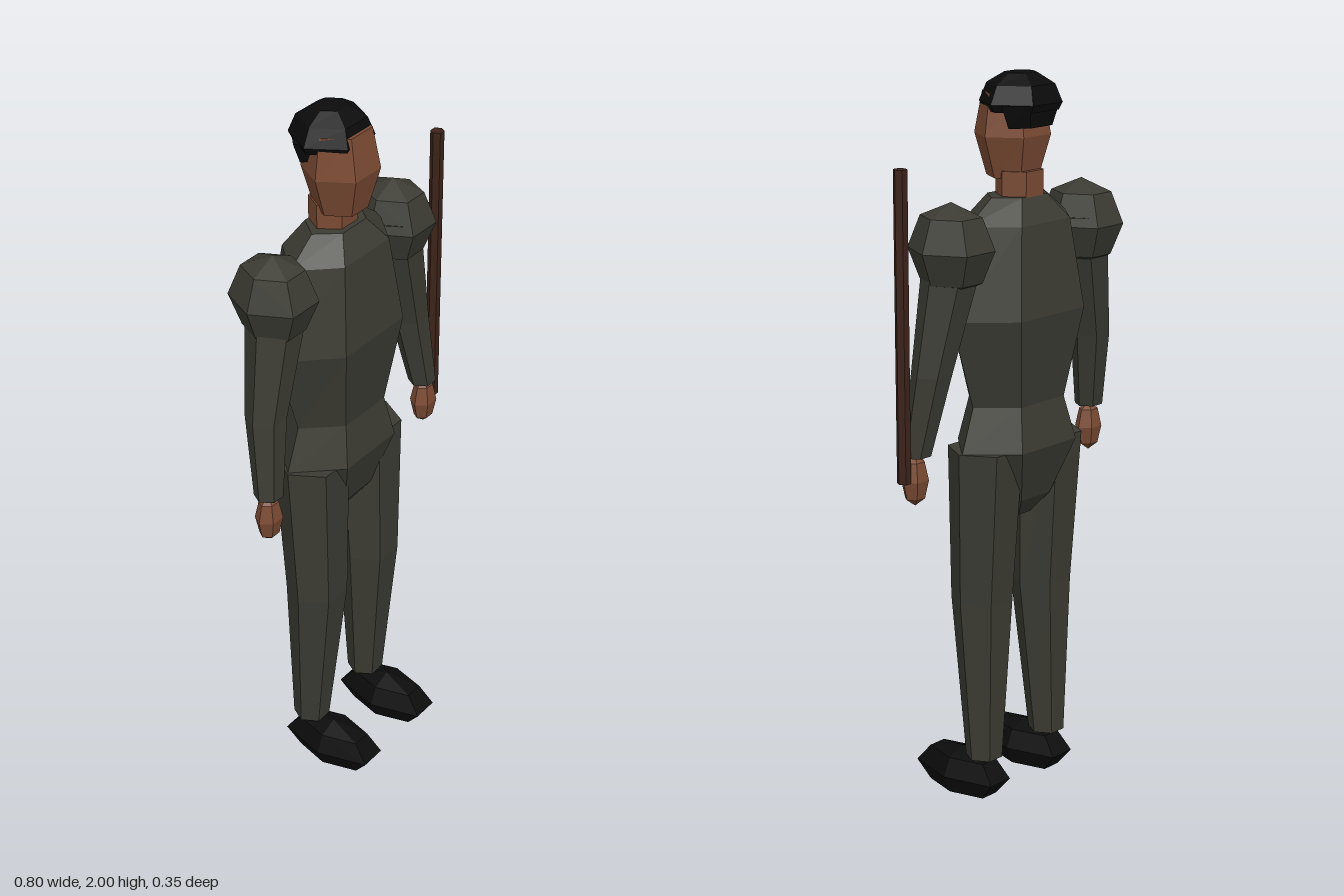
import * as THREE from 'three';

const cloth = new THREE.MeshStandardMaterial({ color: 0x3b3b33 });
cloth.name = 'dark olive cloth';
const skin = new THREE.MeshStandardMaterial({ color: 0x7a4a33 });
skin.name = 'brown skin';
const black = new THREE.MeshStandardMaterial({ color: 0x0b0b0b });
black.name = 'black';
const wood = new THREE.MeshStandardMaterial({ color: 0x3c231a });
wood.name = 'dark wood';

const MID = -0.01; // body axis
const SIDES = 6;

function faceted(geometry) {
  const g = geometry.toNonIndexed();
  g.computeVertexNormals();
  return g;
}

// Capped six-sided loft, rings from bottom to top: [y, x, z, halfWidth, halfDepth]
function loft(rings) {
  const pos = [], index = [], n = SIDES;
  for (const [y, x, z, w, d] of rings) {
    for (let k = 0; k < n; k++) {
      const a = (k / n) * Math.PI * 2;
      pos.push(x + w * Math.cos(a), y, z + (d / 0.866) * Math.sin(a));
    }
  }
  for (let r = 0; r < rings.length - 1; r++) {
    for (let k = 0; k < n; k++) {
      const a = r * n + k, b = r * n + ((k + 1) % n);
      index.push(a, a + n, b, b, a + n, b + n);
    }
  }
  const t = (rings.length - 1) * n;
  for (let k = 1; k < n - 1; k++) {
    index.push(0, k, k + 1, t, t + k + 1, t + k);
  }
  const g = new THREE.BufferGeometry();
  g.setAttribute('position', new THREE.Float32BufferAttribute(pos, 3));
  g.setIndex(index);
  return faceted(g);
}

// Coarse six-sided ellipsoid
function blob(x, y, z, rx, ry, rz) {
  const g = new THREE.SphereGeometry(1, SIDES, 4);
  g.scale(rx, ry, rz);
  g.translate(x, y, z);
  return faceted(g);
}

export function createModel() {
  const group = new THREE.Group();
  const add = (name, geometry, material) => {
    const mesh = new THREE.Mesh(geometry, material);
    mesh.name = name;
    group.add(mesh);
  };

  // Trunk
  add('torso', loft([
    [1.135, MID, -0.045, 0.17, 0.093],
    [1.38, MID, -0.047, 0.25, 0.126],
    [1.62, MID, -0.047, 0.19, 0.1],
    [1.685, MID, -0.047, 0.1, 0.06],
  ]), cloth);
  add('pelvis', loft([
    [0.815, MID, -0.045, 0.045, 0.03],
    [0.87, MID, -0.045, 0.115, 0.07],
    [1.02, MID, -0.047, 0.215, 0.116],
    [1.14, MID, -0.045, 0.17, 0.093],
  ]), cloth);

  // Neck, head and hair
  add('neck', loft([
    [1.65, MID, -0.055, 0.068, 0.053],
    [1.75, MID, -0.055, 0.068, 0.053],
  ]), skin);
  add('head', loft([
    [1.73, MID, -0.03, 0.07, 0.06],
    [1.84, MID, -0.03, 0.106, 0.086],
    [1.95, MID, -0.03, 0.088, 0.066],
  ]), skin);
  add('hair', loft([
    [1.905, MID, -0.058, 0.104, 0.084],
    [1.925, MID, -0.058, 0.115, 0.093],
    [1.972, MID, -0.058, 0.092, 0.077],
    [2.0, MID, -0.058, 0.045, 0.036],
  ]), black);
  add('backHair', loft([
    [1.865, MID, -0.092, 0.085, 0.037],
    [1.925, MID, -0.092, 0.112, 0.05],
  ]), black);

  // Limbs, mirrored about the body axis
  for (const [side, s] of [['left', 1], ['right', -1]]) {
    const at = (x) => MID + s * x;
    add(side + 'Leg', loft([
      [0.137, at(0.13), -0.044, 0.05, 0.044],
      [0.593, at(0.12), -0.028, 0.085, 0.073],
      [1.02, at(0.12), -0.042, 0.102, 0.088],
    ]), cloth);
    add(side + 'Boot', blob(at(0.13), 0.072, 0.035, 0.077, 0.072, 0.162), black);
    add(side + 'Shoulder', blob(at(0.255), 1.575, -0.05, 0.106, 0.12, 0.12), cloth);
    add(side + 'Arm', loft([
      [1.04, at(0.346), -0.008, 0.04, 0.033],
      [1.255, at(0.316), -0.035, 0.054, 0.047],
      [1.6, at(0.235), -0.05, 0.08, 0.075],
    ]), cloth);
    add(side + 'Hand', blob(at(0.35), 0.975, -0.005, 0.042, 0.07, 0.035), skin);
  }

  // Staff held beside the left hand
  add('staff', loft([
    [0.975, 0.381, -0.006, 0.019, 0.016],
    [1.79, 0.381, -0.006, 0.019, 0.016],
  ]), wood);

  return group;
}
